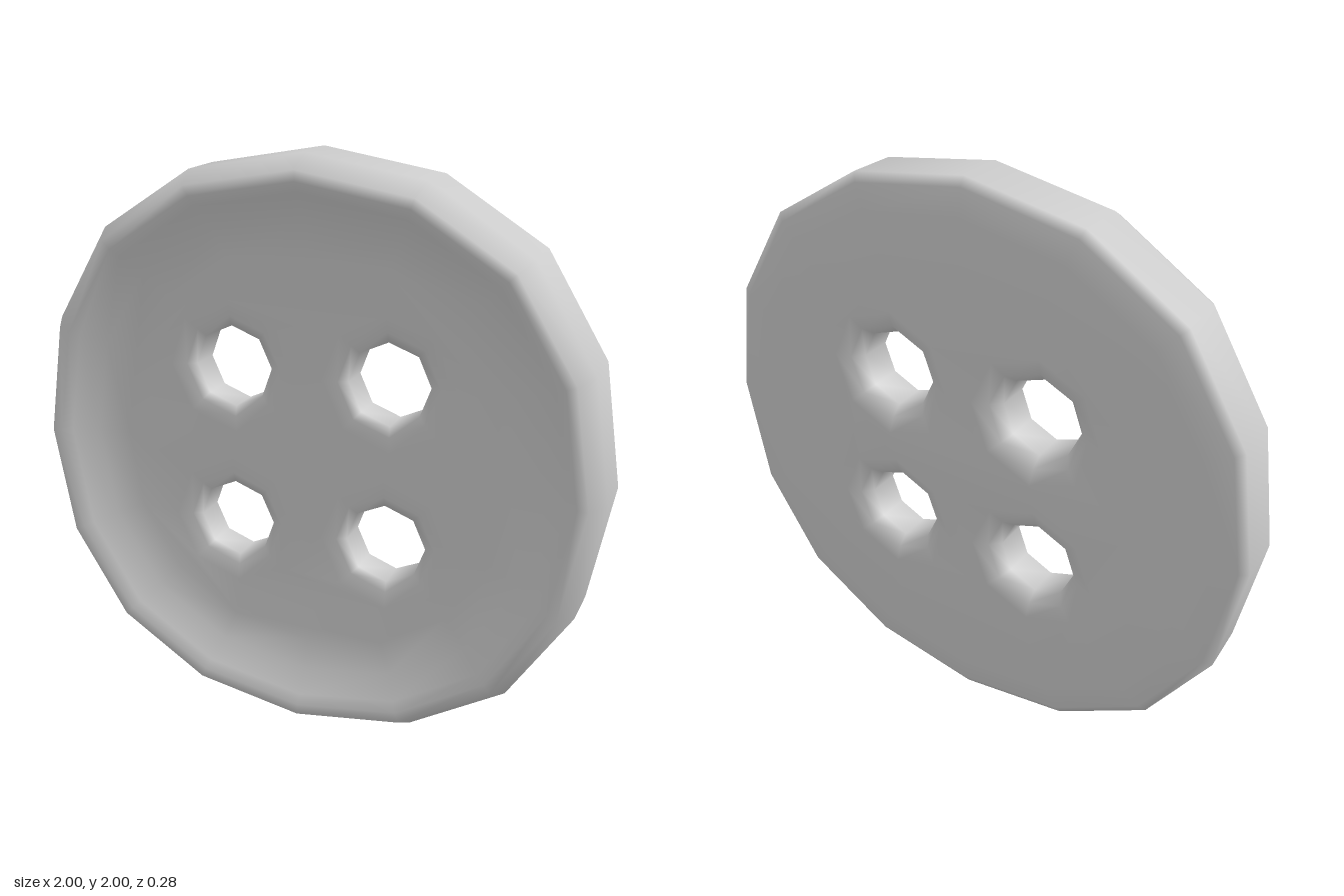
import * as THREE from 'three';
import { mergeGeometries, mergeVertices } from 'three/addons/utils/BufferGeometryUtils.js';

const SIDES = 16, HOLE_SIDES = 8, PLATE_R = 0.69;
const HOLE_X = 0.277, HOLE_Y = 0.28, HOLE_R = 0.14, COLLAR_R = 0.23;

// The dish floor is a shallow bowl and the back a shallow dome
const floorZ = (x, y) => 0.03 + 0.04 * (x * x + y * y);
const backZ = (x, y) => -0.144 + 0.02 * (x * x + y * y);

// Closed outline around the z axis; the disc bulges slightly on its diagonals
function discRing(r, z) {
  return Array.from({ length: SIDES }, (_, i) => {
    const t = (i / SIDES) * Math.PI * 2;
    const k = r * (1 + 0.03 * Math.sin(2 * t) ** 2);
    const a = t + 0.013 * Math.sin(4 * t);
    const x = k * Math.cos(a), y = k * Math.sin(a);
    return new THREE.Vector3(x, y, typeof z === 'function' ? z(x, y) : z);
  });
}

function holeRing(cx, cy, r, z) {
  return Array.from({ length: HOLE_SIDES }, (_, i) => {
    const t = (i / HOLE_SIDES) * Math.PI * 2 + 0.04;
    const x = cx + r * Math.cos(t), y = cy + r * Math.sin(t);
    return new THREE.Vector3(x, y, typeof z === 'function' ? z(x, y) : z);
  });
}

// Skin a sequence of equal-length rings
function skin(rings) {
  const n = rings[0].length, index = [];
  for (let j = 0; j < rings.length - 1; j++) {
    for (let i = 0; i < n; i++) {
      const a = j * n + i, b = j * n + (i + 1) % n;
      index.push(a, a + n, b, b, a + n, b + n);
    }
  }
  const g = new THREE.BufferGeometry().setFromPoints(rings.flat());
  g.setIndex(index);
  return g;
}

// Curved plate with four openings, facing +z or (flipped) -z
function plate(z, holes, flip) {
  const flat = (ring) => ring.map((p) => new THREE.Vector2(p.x, p.y));
  const shape = new THREE.Shape(flat(discRing(PLATE_R, 0)));
  for (const [x, y] of holes) {
    shape.holes.push(new THREE.Path(flat(holeRing(x, y, COLLAR_R, 0))));
  }
  const g = new THREE.ShapeGeometry(shape);
  const pos = g.attributes.position;
  for (let i = 0; i < pos.count; i++) pos.setZ(i, z(pos.getX(i), pos.getY(i)));
  g.deleteAttribute('uv');
  g.deleteAttribute('normal');
  if (flip) g.setIndex(Array.from(g.index.array).reverse());
  return g;
}

export function createModel() {
  const group = new THREE.Group();
  group.name = 'button';

  const holes = [];
  for (const sx of [-1, 1]) for (const sy of [-1, 1]) holes.push([sx * HOLE_X, sy * HOLE_Y]);

  // Dish wall, raised lip, outer side and rounded back edge
  const profile = [
    [PLATE_R, floorZ], [0.8, 0.07], [0.88, 0.12], [0.915, 0.137], [0.95, 0.14],
    [0.995, 0.065], [1, -0.1], [0.97, -0.118], [0.88, -0.129], [PLATE_R, backZ],
  ];
  const parts = [skin(profile.map(([r, z]) => discRing(r, z)))];

  // Dish floor and back face
  parts.push(plate(floorZ, holes, false), plate(backZ, holes, true));

  // Thread holes, sunk softly into both faces
  const holeProfile = [
    [COLLAR_R, backZ], [0.175, -0.122], [HOLE_R, -0.088],
    [HOLE_R, 0.02], [0.175, 0.032], [COLLAR_R, floorZ],
  ];
  for (const [x, y] of holes) {
    parts.push(skin(holeProfile.map(([r, z]) => holeRing(x, y, r, z))));
  }

  // Weld everything so the shading runs smoothly across the parts
  const geometry = mergeVertices(mergeGeometries(parts), 1e-4);
  geometry.computeVertexNormals();

  const body = new THREE.Mesh(geometry, new THREE.MeshStandardMaterial({ color: 0xcccccc }));
  body.name = 'buttonBody';
  body.position.y = 1;
  group.add(body);
  return group;
}
